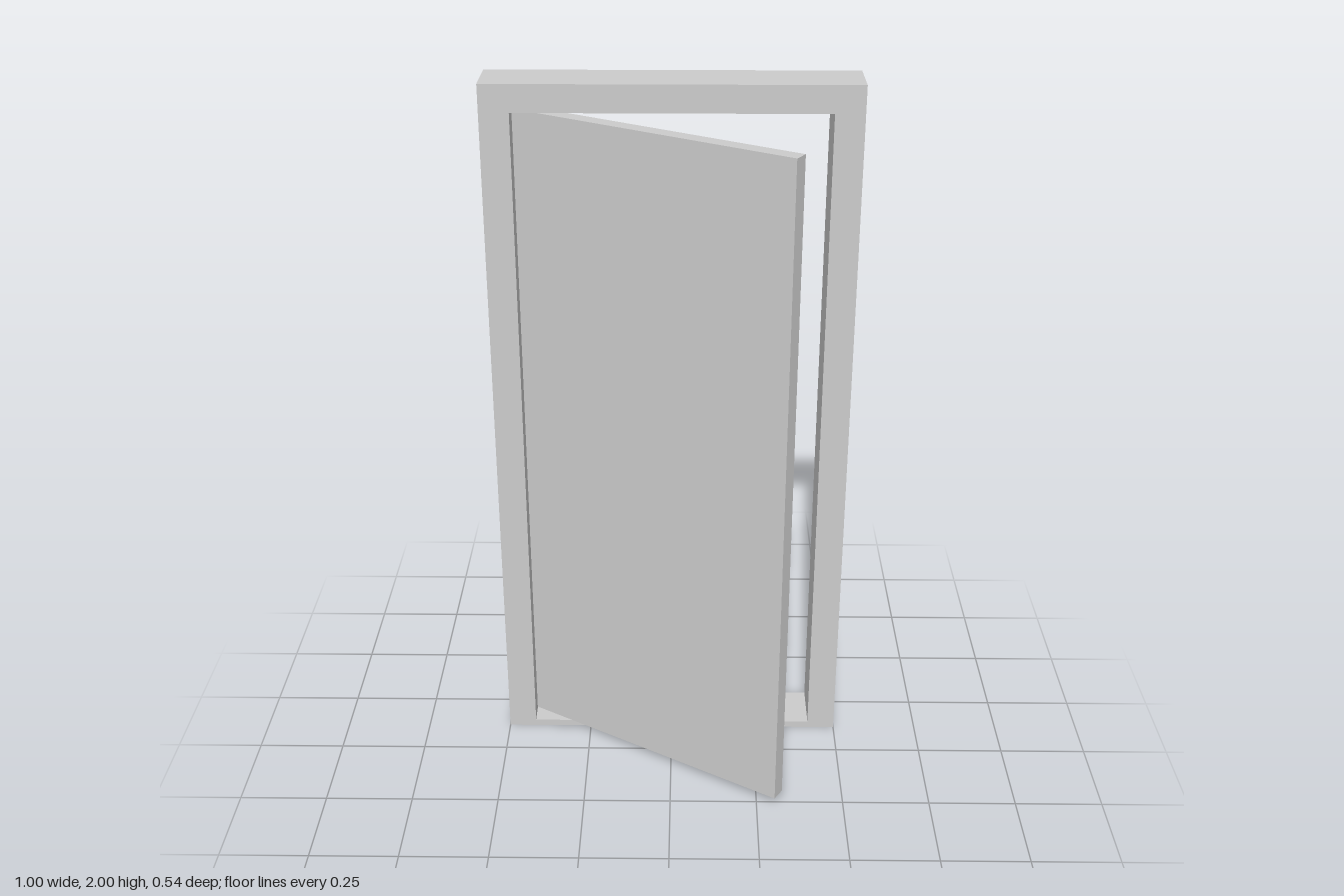
import * as THREE from 'three';

export function createModel() {
  const group = new THREE.Group();
  const grey = new THREE.MeshStandardMaterial({ color: 0xcccccc });
  grey.name = 'light grey';

  // Rectangular frame with a thin sill, extruded around the opening
  const outline = new THREE.Shape();
  outline.moveTo(-0.5, 0).lineTo(0.5, 0).lineTo(0.5, 2).lineTo(-0.5, 2).closePath();
  const opening = new THREE.Path();
  opening.moveTo(-0.42, 0.02).lineTo(-0.42, 1.925).lineTo(0.42, 1.925).lineTo(0.42, 0.02).closePath();
  outline.holes.push(opening);
  const frame = new THREE.Mesh(
    new THREE.ExtrudeGeometry(outline, { depth: 0.155, bevelEnabled: false }), grey);
  frame.name = 'doorFrame';
  frame.position.z = -0.27;
  group.add(frame);

  // Door leaf, hinged on its front corner against the jamb and swung open
  const width = 0.847, height = 1.895, thickness = 0.043;
  const leaf = new THREE.BoxGeometry(width, height, thickness);
  leaf.translate(width / 2, height / 2, -thickness / 2);
  const door = new THREE.Mesh(leaf, grey);
  door.name = 'doorLeaf';
  door.position.set(-0.42, 0.025, -0.177);
  door.rotation.y = -0.551;
  group.add(door);

  return group;
}
